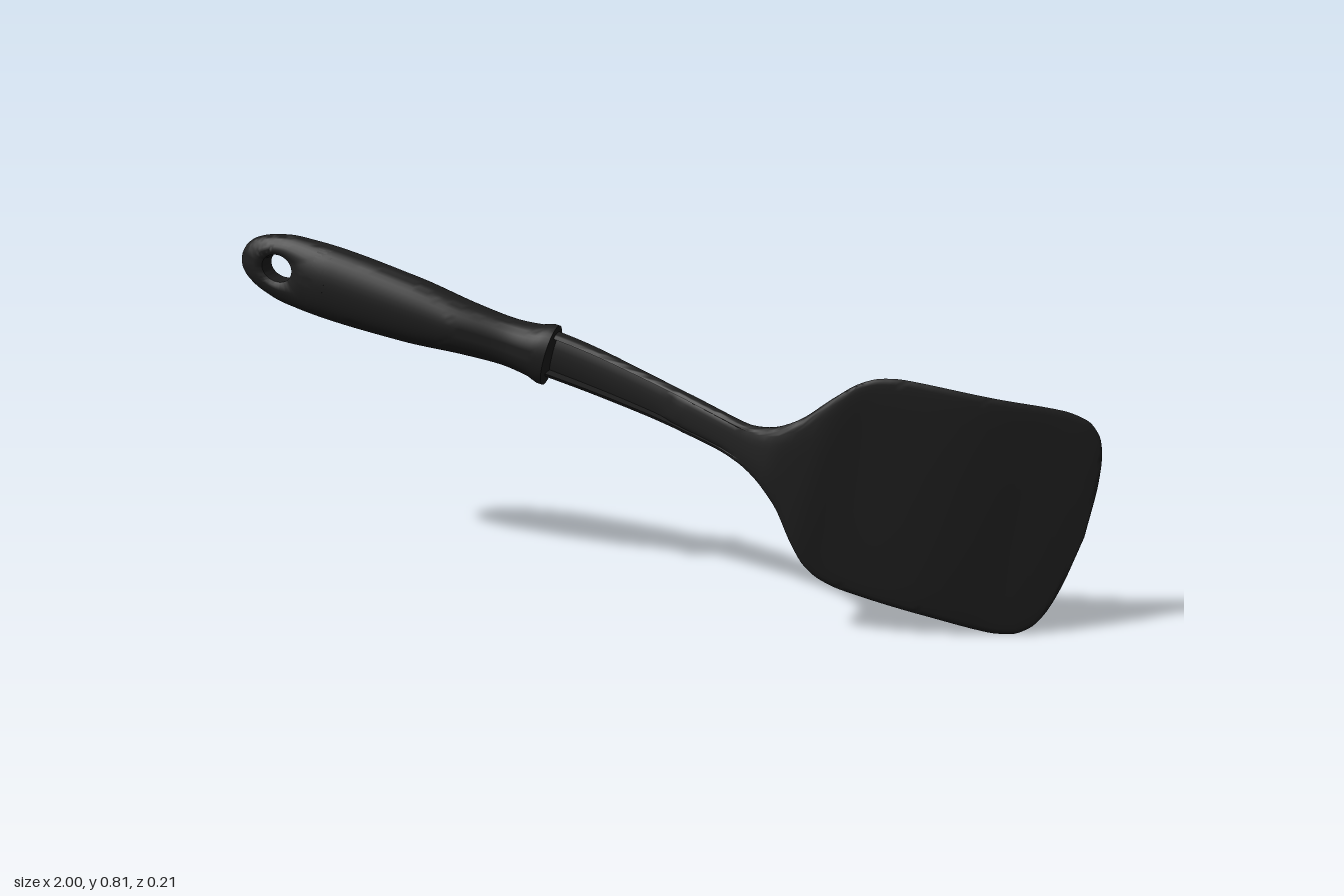
import * as THREE from 'three';
import { toCreasedNormals } from 'three/addons/utils/BufferGeometryUtils.js';

// Smooth monotone curve through [s, value] pairs
function curve(pts) {
  const d = pts.slice(1).map((p, i) => (p[1] - pts[i][1]) / (p[0] - pts[i][0]));
  const m = pts.map((_, i) => {
    if (i === 0) return d[0];
    if (i === d.length) return d[i - 1];
    return d[i - 1] * d[i] <= 0 ? 0 : (2 * d[i - 1] * d[i]) / (d[i - 1] + d[i]);
  });
  return (s) => {
    if (s <= pts[0][0]) return pts[0][1];
    if (s >= pts[d.length][0]) return pts[d.length][1];
    let i = 0;
    while (s > pts[i + 1][0]) i++;
    const h = pts[i + 1][0] - pts[i][0];
    const q = (s - pts[i][0]) / h, r = 1 - q;
    return pts[i][1] * r * r * (1 + 2 * q) + pts[i + 1][1] * q * q * (3 - 2 * q)
      + h * q * r * (m[i] * r - m[i + 1] * q);
  };
}

// Skin over a row of closed cross-sections
function loft(sections, crease) {
  const n = sections[0].length, index = [];
  for (let i = 0; i < sections.length - 1; i++) {
    for (let j = 0; j < n; j++) {
      const a = i * n + j, b = i * n + ((j + 1) % n);
      index.push(a, b, a + n, b, b + n, a + n);
    }
  }
  const geo = new THREE.BufferGeometry();
  geo.setAttribute('position', new THREE.Float32BufferAttribute(sections.flat(2), 3));
  geo.setIndex(index);
  return toCreasedNormals(geo, crease);
}

// Handle: half width, half depth and centre depth along its length
const gripW = curve([[-1.032, 0], [-1.02, 0.032], [-1, 0.052], [-0.96, 0.071], [-0.9, 0.084], [-0.8, 0.088],
  [-0.6, 0.079], [-0.45, 0.062], [-0.36, 0.057], [-0.29, 0.064], [-0.268, 0.073], [-0.255, 0.073]]);
const gripD = curve([[-1.032, 0], [-1.02, 0.02], [-0.98, 0.032], [-0.9, 0.043], [-0.8, 0.053],
  [-0.5, 0.057], [-0.36, 0.046], [-0.28, 0.052], [-0.255, 0.052]]);
const gripZ = curve([[-1.032, 0], [-0.8, -0.015], [-0.5, -0.033], [-0.255, -0.054]]);
const gripHeight = (s, t) => {
  const w = gripW(s);
  return w < 1e-5 ? 0 : gripD(s) * Math.sqrt(Math.max(0, 1 - (t / w) ** 2));
};

function gripBody() {
  const start = -0.84, end = -0.255, steps = 48, sections = [];
  const ring = (s, k) => Array.from({ length: 40 }, (_, j) => {
    const a = (j / 40) * Math.PI * 2;
    return [s, k * gripW(s) * Math.cos(a), gripZ(s) + k * gripD(s) * Math.sin(a)];
  });
  for (let i = 0; i <= steps; i++) sections.push(ring(start + ((end - start) * i) / steps, 1));
  sections.push(ring(end, 0));
  return loft(sections, 0.7);
}

// Rounded handle end, swept around the hanging hole
function gripEnd() {
  const cs = -0.93, limit = -0.8, steps = 64, rows = 10, sections = [];
  for (let i = 0; i <= steps; i++) {
    const a = ((i % steps) / steps) * Math.PI * 2, dx = Math.cos(a), dy = Math.sin(a);
    const inner = 1 / Math.hypot(dx / 0.039, dy / 0.032);
    let lo = inner, hi = 0.3;
    for (let k = 0; k < 30; k++) {
      const mid = (lo + hi) / 2, s = cs + mid * dx;
      if (s < limit && s > -1.032 && Math.abs(mid * dy) < gripW(s)) lo = mid; else hi = mid;
    }
    const front = [], back = [];
    for (let k = 0; k <= rows; k++) {
      const r = inner + (lo - inner) * Math.sin((k / rows) * Math.PI / 2);
      const s = cs + r * dx, t = r * dy;
      const h = gripHeight(s, t) * (k === 0 ? 0.7 : k === 1 ? 0.92 : 1);
      front.push([s, t, gripZ(s) + h]);
      back.unshift([s, t, gripZ(s) - h]);
    }
    sections.push([...front, ...back]);
  }
  return loft(sections, 0.7);
}

// Shaft and blade: half width, half thickness, centre depth, groove depth
const bladeW = curve([[-0.3, 0.056], [-0.22, 0.055], [0.05, 0.045], [0.2, 0.042], [0.25, 0.045], [0.3, 0.06],
  [0.36, 0.102], [0.417, 0.173], [0.46, 0.22], [0.5, 0.243], [0.55, 0.254], [0.75, 0.265], [0.88, 0.272],
  [0.93, 0.264], [0.965, 0.238], [0.985, 0.197], [1, 0.12], [1.009, 0]]);
const bladeD = curve([[-0.3, 0.032], [-0.2, 0.03], [0, 0.022], [0.3, 0.018], [0.4, 0.016],
  [0.6, 0.012], [0.9, 0.009], [1.009, 0.004]]);
const bladeZ = curve([[-0.3, -0.066], [-0.2, -0.06], [0, -0.022], [0.1, 0.005], [0.2, 0.038], [0.27, 0.068],
  [0.34, 0.085], [0.41, 0.081], [0.5, 0.058], [0.7, 0.008], [0.9, -0.066], [1.009, -0.104]]);
const groove = curve([[-0.3, 0.03], [-0.1, 0.024], [0.05, 0.018], [0.065, 0.008], [0.2, 0.004], [0.28, 0]]);

function shaftAndBlade() {
  const half = [1, 0.985, 0.95, 0.9, 0.84, 0.78, 0.73, 0.5, 0.25];
  const across = [...half, 0, ...half.map((u) => -u).reverse()];
  const steps = 110, sections = [];
  for (let i = 0; i <= steps; i++) {
    const s = -0.3 + 1.309 * (1 - (1 - i / steps) ** 1.5);
    const w = bladeW(s), d = bladeD(s), z = bladeZ(s);
    const power = s < 0.1 ? 2.4 : 3;
    const v = (u) => d * Math.max(0, 1 - Math.abs(u) ** power) ** (1 / power);
    const front = across.map((u) => [s, u * w, z + v(u) - (Math.abs(u) < 0.75 ? groove(s) : 0)]);
    const back = across.slice(1, -1).reverse().map((u) => [s, u * w, z - v(u)]);
    sections.push([...front, ...back]);
  }
  return loft(sections, 0.8);
}

export function createModel() {
  const black = new THREE.MeshStandardMaterial({ color: 0x1e1e1e });
  black.name = 'matte black';

  const tool = new THREE.Group();
  tool.name = 'spatula';
  const add = (name, geometry) => {
    const mesh = new THREE.Mesh(geometry, black);
    mesh.name = name;
    tool.add(mesh);
  };
  add('handleGrip', gripBody());
  add('handleEnd', gripEnd());
  add('shaftAndBlade', shaftAndBlade());

  // Tilt the long axis down toward the blade
  tool.rotation.z = -0.261;
  tool.position.y = 0.5;

  const model = new THREE.Group();
  model.name = 'model';
  model.add(tool);
  return model;
}
